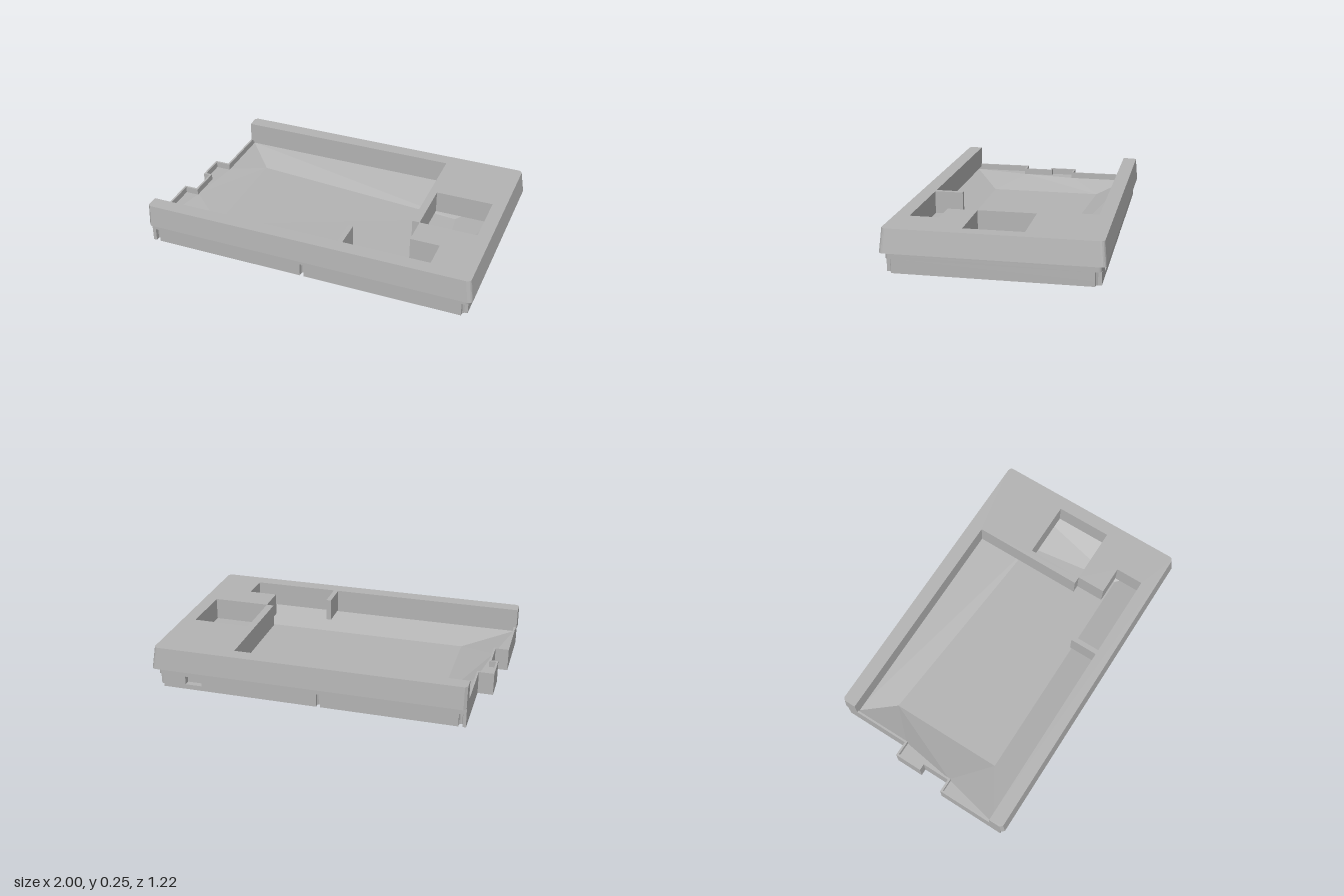
import * as THREE from 'three';

const grey = new THREE.MeshStandardMaterial({ color: 0xb4b4b4 });
grey.name = 'matt grey';
const greyInside = new THREE.MeshStandardMaterial({ color: 0xb4b4b4, side: THREE.DoubleSide });
greyInside.name = 'matt grey inside';

const vecs = (pts) => pts.map(([x, z]) => new THREE.Vector2(x, z));

// Extrude a plan outline (x, z) between two heights
function slab(name, outline, holes, y0, y1) {
  const shape = new THREE.Shape(vecs(outline));
  for (const h of holes) shape.holes.push(new THREE.Path(vecs(h)));
  const geo = new THREE.ExtrudeGeometry(shape, { depth: y1 - y0, bevelEnabled: false });
  geo.rotateX(Math.PI / 2).translate(0, y1, 0);
  const mesh = new THREE.Mesh(geo, grey);
  mesh.name = name;
  return mesh;
}

const rect = (x0, x1, z0, z1) => [[x0, z0], [x1, z0], [x1, z1], [x0, z1]];

// Quarter-round corner, from angle a0 through a quarter turn
function corner(cx, cz, r, a0) {
  return [0, 1, 2, 3, 4].map((i) => {
    const a = a0 + (i / 4) * Math.PI / 2;
    return [cx + r * Math.cos(a), cz + r * Math.sin(a)];
  });
}

// Narrow rounded screw channel cut into a long edge; s is the side, dir the walking direction
function channel(x, s, dir) {
  const z = s * 0.585;
  return [[x - dir * 0.012, z], [x - dir * 0.012, z - s * 0.024], [x - dir * 0.005, z - s * 0.032],
    [x + dir * 0.005, z - s * 0.032], [x + dir * 0.012, z - s * 0.024], [x + dir * 0.012, z]];
}

// Scooped screw channel in a right-hand corner
const scoop = (s) => {
  const pts = [[0.938, s * 0.585], [0.94, s * 0.565], [0.95, s * 0.555], [0.968, s * 0.552]];
  return s < 0 ? pts : pts.reverse();
};

// Plan of the tray: stepped on the -x side
function trayOutline(screws, port) {
  const steps = [[-0.995, 0.585], [-0.995, 0.17], [-0.915, 0.17], [-0.915, 0],
    [-0.955, 0], [-0.955, -0.17], [-0.865, -0.17], [-0.865, -0.585]];
  const slot = port ? [[0.7, -0.585], [0.7, -0.55], [0.8, -0.55], [0.8, -0.585]] : [];
  return [
    ...steps,
    ...(screws ? channel(-0.835, -1, 1) : []),
    ...(screws ? channel(-0.015, -1, 1) : []),
    ...slot,
    ...(screws ? scoop(-1) : corner(0.948, -0.565, 0.02, -Math.PI / 2)),
    ...(screws ? scoop(1) : corner(0.948, 0.565, 0.02, 0)),
    ...(screws ? channel(-0.015, 1, -1) : []),
    ...(screws ? channel(-0.962, 1, -1) : []),
  ];
}

function makeTray() {
  const tray = new THREE.Group();
  tray.name = 'tray';
  const basinRim = [[-0.853, -0.535], [0.93, -0.535], [0.93, 0.535], [-0.983, 0.535],
    [-0.903, 0.17], [-0.853, -0.17]];
  const wallInside = [[-0.853, -0.535], [0.93, -0.535], [0.93, 0.535], [-0.983, 0.535], [-0.983, 0.182],
    [-0.903, 0.182], [-0.903, -0.012], [-0.943, -0.012], [-0.943, -0.158], [-0.853, -0.158]];
  // small square clip holes in the base
  const clips = [];
  for (const x of [0.59, -0.57]) for (const z of [-0.52, 0.52]) clips.push(rect(x - 0.015, x + 0.015, z - 0.012, z + 0.012));
  tray.add(
    slab('base', trayOutline(true, false), clips, 0, 0.03),
    slab('lowerWall', trayOutline(true, true), [basinRim], 0.03, 0.08),
    slab('ledge', trayOutline(false, false), [basinRim], 0.08, 0.1),
    slab('rimWall', trayOutline(false, false), [wallInside], 0.1, 0.138),
  );

  // sloping basin: six rim points down to a four-cornered floor
  const points = [...basinRim.map(([x, z]) => [x, 0.1, z]),
    [-0.68, 0.04, -0.355], [0.66, 0.034, -0.25], [0.74, 0.04, 0.345], [-0.68, 0.04, 0.345]];
  const faces = [
    6, 9, 7, 7, 9, 8, // floor
    0, 6, 7, 0, 7, 1, // back slope
    1, 7, 8, 1, 8, 2, // right slope
    2, 8, 9, 2, 9, 3, // front slope
    3, 9, 4, 4, 9, 6, 4, 6, 5, 5, 6, 0, // stepped end slope
  ];
  const geo = new THREE.BufferGeometry();
  geo.setAttribute('position', new THREE.Float32BufferAttribute(faces.flatMap((i) => points[i]), 3));
  geo.computeVertexNormals();
  const basin = new THREE.Mesh(geo, greyInside);
  basin.name = 'basin';
  tray.add(basin);
  return tray;
}

// Cover frame: two rails, a wide panel, a square window and a dividing stub
function makeCover() {
  const outline = [
    [-0.865, -0.515], [-0.865, -0.585], [-0.85, -0.6],
    ...corner(0.955, -0.575, 0.025, -Math.PI / 2),
    ...corner(0.955, 0.575, 0.025, 0),
    [-0.985, 0.6], [-1, 0.585], [-1, 0.515],
    [0.18, 0.515], [0.18, 0.345], [0.21, 0.345], [0.21, 0.515],
    [0.73, 0.515], [0.73, 0.345], [0.555, 0.345], [0.555, 0.17], [0.51, 0.17], [0.51, -0.515],
  ];
  const cover = slab('coverFrame', outline, [rect(0.555, 0.9, -0.17, 0.17)], 0.12, 0.255);
  // flare the outer skirt towards its lower edge
  const p = cover.geometry.attributes.position;
  for (let i = 0; i < p.count; i++) {
    if (p.getY(i) > 0.2) continue;
    const x = p.getX(i), z = p.getZ(i);
    if (x > 0.92) p.setX(i, x + 0.02);
    if (Math.abs(z) > 0.53) p.setZ(i, z + Math.sign(z) * 0.012);
  }
  cover.geometry.computeVertexNormals();
  return cover;
}

export function createModel() {
  const model = new THREE.Group();
  model.name = 'enclosure';
  model.add(makeTray(), makeCover());
  return model;
}
